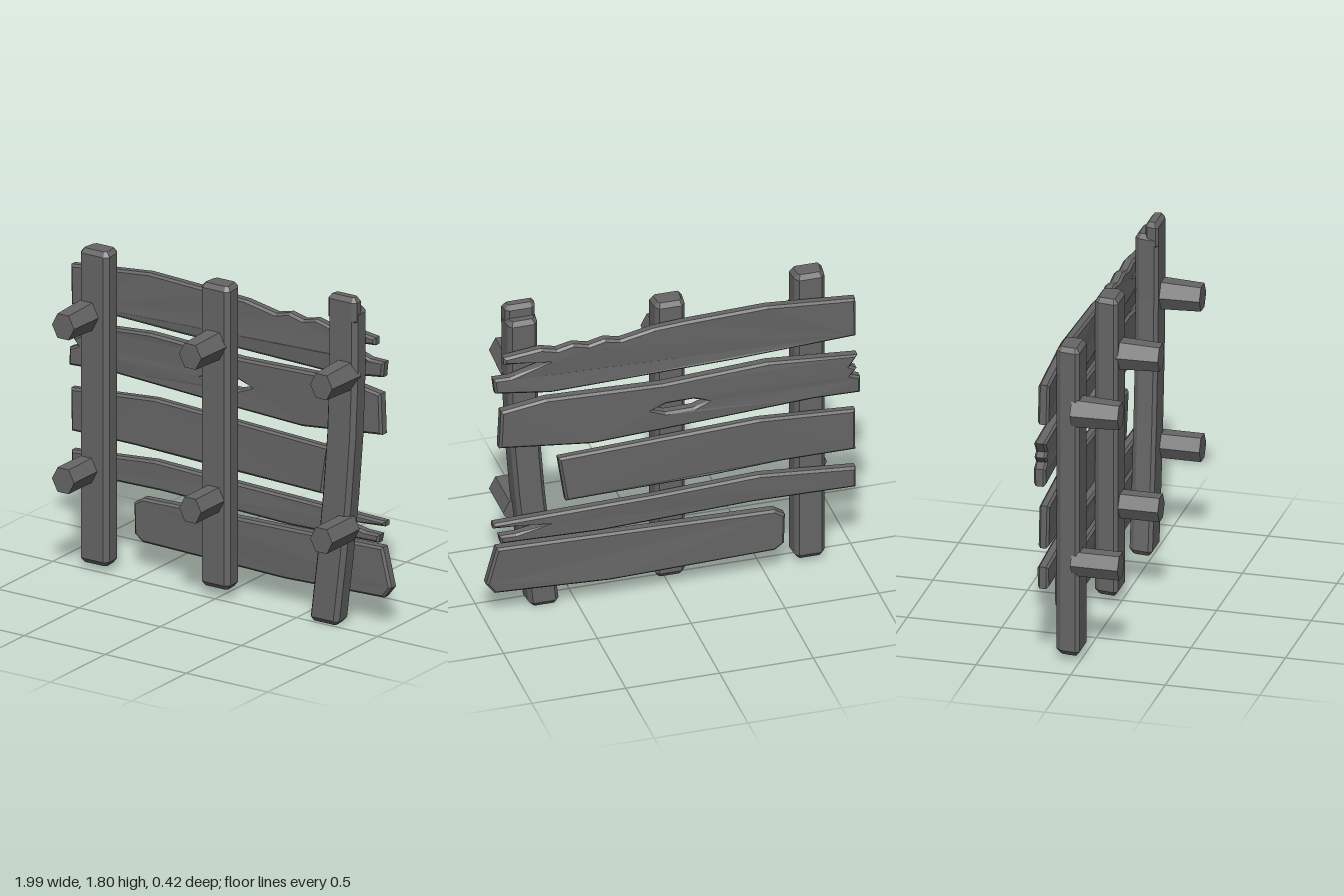
import * as THREE from 'three';

const weatheredWood = new THREE.MeshStandardMaterial({ color: 0x666666, flatShading: true });
weatheredWood.name = 'weatheredWood';

const toShape = (pts) => new THREE.Shape(pts.map(([x, y]) => new THREE.Vector2(x, y)));

function addMesh(group, name, geometry) {
  const mesh = new THREE.Mesh(geometry, weatheredWood);
  mesh.name = name;
  group.add(mesh);
  return mesh;
}

// Moves every vertex by a rule
function deform(geometry, rule) {
  const p = geometry.attributes.position;
  const v = new THREE.Vector3();
  for (let i = 0; i < p.count; i++) {
    rule(v.fromBufferAttribute(p, i));
    p.setXYZ(i, v.x, v.y, v.z);
  }
  geometry.computeVertexNormals();
  return geometry;
}

// Board cut from an outline in x and y, bevelled, bowed slightly to the back
function plankGeometry(back, front, outline, hole) {
  const shape = toShape(outline);
  if (hole) shape.holes.push(toShape(hole));
  const bevel = 0.012;
  const geometry = new THREE.ExtrudeGeometry(shape, {
    depth: front - back - 2 * bevel, bevelThickness: bevel,
    bevelSize: bevel, bevelOffset: -bevel, bevelSegments: 1,
  });
  return deform(geometry, (v) => {
    v.z += back + bevel - 0.008 * Math.cos(v.x * 1.5) + 0.003 * Math.sin(v.x * 7 + v.y * 9);
  });
}

// Plank end split into an upper and a lower prong
const forkedEnd = (upperX, lowerX, top, split, bottom, gap) => [
  [upperX, top], [upperX, split + 0.02], [0.66, split],
  [lowerX - 0.09, split - gap], [lowerX, split - gap], [lowerX - 0.01, bottom]];

// Shallow zigzag along a broken edge
const chippedEdge = (from, to, y, count) => Array.from({ length: count }, (_, i) =>
  [from + (to - from) * i / (count - 1), y + (i % 2 ? 0.01 : -0.01)]);

// Spindle-shaped knot hole
const knotHole = (x, y, halfWidth, halfHeight) => Array.from({ length: 6 }, (_, i) =>
  [x + halfWidth * Math.cos(i * Math.PI / 3), y + halfHeight * Math.sin(i * Math.PI / 3)]);

function addPlanks(model) {
  addMesh(model, 'topPlank', plankGeometry(-0.18, -0.122, [
    [-0.975, 1.59], [-0.5, 1.635], [-0.07, 1.62], [0.1, 1.61],
    ...chippedEdge(0.28, 0.7, 1.585, 6),
    ...forkedEnd(0.9, 0.955, 1.57, 1.51, 1.365, 0.06),
    [0.65, 1.325], [-0.31, 1.345], [-0.975, 1.37]]));

  addMesh(model, 'knotPlank', plankGeometry(-0.198, -0.135, [
    [-0.98, 1.265], [-0.5, 1.305], [0.06, 1.28], [0.68, 1.3], [0.92, 1.265], [0.93, 1.045],
    [0.435, 0.99], [-0.045, 1.01], [-0.74, 1.045], [-0.995, 1.035],
    [-0.995, 1.13], [-0.945, 1.15], [-0.975, 1.185], [-0.94, 1.205]],
  knotHole(-0.03, 1.135, 0.15, 0.03)));

  addMesh(model, 'shortPlank', plankGeometry(-0.176, -0.122, [
    [-0.975, 0.92], [-0.46, 0.96], [0.61, 0.917], [0.57, 0.655],
    [-0.2, 0.67], [-0.58, 0.685], [-0.975, 0.685]]));

  addMesh(model, 'splitPlank', plankGeometry(-0.18, -0.122, [
    [-0.975, 0.58], [-0.46, 0.625], [0.09, 0.605],
    ...forkedEnd(0.957, 0.925, 0.585, 0.537, 0.46, 0.03),
    [0.38, 0.445], [-0.42, 0.47], [-0.975, 0.46]]));

  addMesh(model, 'bottomPlank', plankGeometry(-0.188, -0.125, [
    [-0.595, 0.37], [-0.54, 0.405], [0.94, 0.44], [0.995, 0.23], [0.95, 0.17],
    [0.33, 0.145], [-0.54, 0.165], [-0.59, 0.2]]));
}

// Post section as (x, depth behind the front)
const postSection = [[-0.075, 0], [0.06, 0], [0.085, 0.02], [0.078, 0.1],
  [0.06, 0.125], [-0.06, 0.125], [-0.08, 0.1], [-0.09, 0.02]];

// Upright post with chamfered ends whose centre line follows a rule
function postGeometry(section, bottom, top, centreAt) {
  const geometry = new THREE.ExtrudeGeometry(toShape(section), {
    depth: top - bottom - 0.05, steps: 5, bevelThickness: 0.025,
    bevelSize: 0.018, bevelOffset: -0.018, bevelSegments: 1,
  });
  geometry.rotateX(-Math.PI / 2);
  geometry.translate(0, bottom + 0.025, 0);
  return deform(geometry, (v) => { v.x += centreAt(v.y); });
}

function addPosts(model) {
  addMesh(model, 'rightPost', postGeometry(postSection, 0.04, 1.745, () => -0.75));
  addMesh(model, 'middlePost', postGeometry(postSection, 0.065, 1.71, () => -0.005));

  // Crooked post with a stepped top
  const lean = (y) => 0.78 - 0.118 * Math.pow(Math.max(0, 1 - y / 1.35), 1.5);
  const tipSection = postSection.map(([x, depth]) => [x, depth * 0.58]);
  addMesh(model, 'leftPost', postGeometry(postSection, 0.01, 1.74, lean));
  addMesh(model, 'leftPostTip', postGeometry(tipSection, 1.66, 1.81, lean));
}

// Six-sided tapering pegs through the posts
function addPegs(model) {
  for (const x of [-0.795, -0.012, 0.795]) {
    for (const [y, root] of [[1.387, 0.078], [0.552, 0.068]]) {
      const geometry = new THREE.CylinderGeometry(0.068, root, 0.25, 6);
      geometry.rotateY(Math.PI / 6);
      geometry.rotateX(Math.PI / 2);
      const peg = addMesh(model, 'peg', geometry);
      peg.scale.y = 1.12;
      peg.position.set(x, y, 0.085);
    }
  }
}

export function createModel() {
  const model = new THREE.Group();
  model.name = 'plankBarrier';
  addPlanks(model);
  addPosts(model);
  addPegs(model);
  return model;
}
